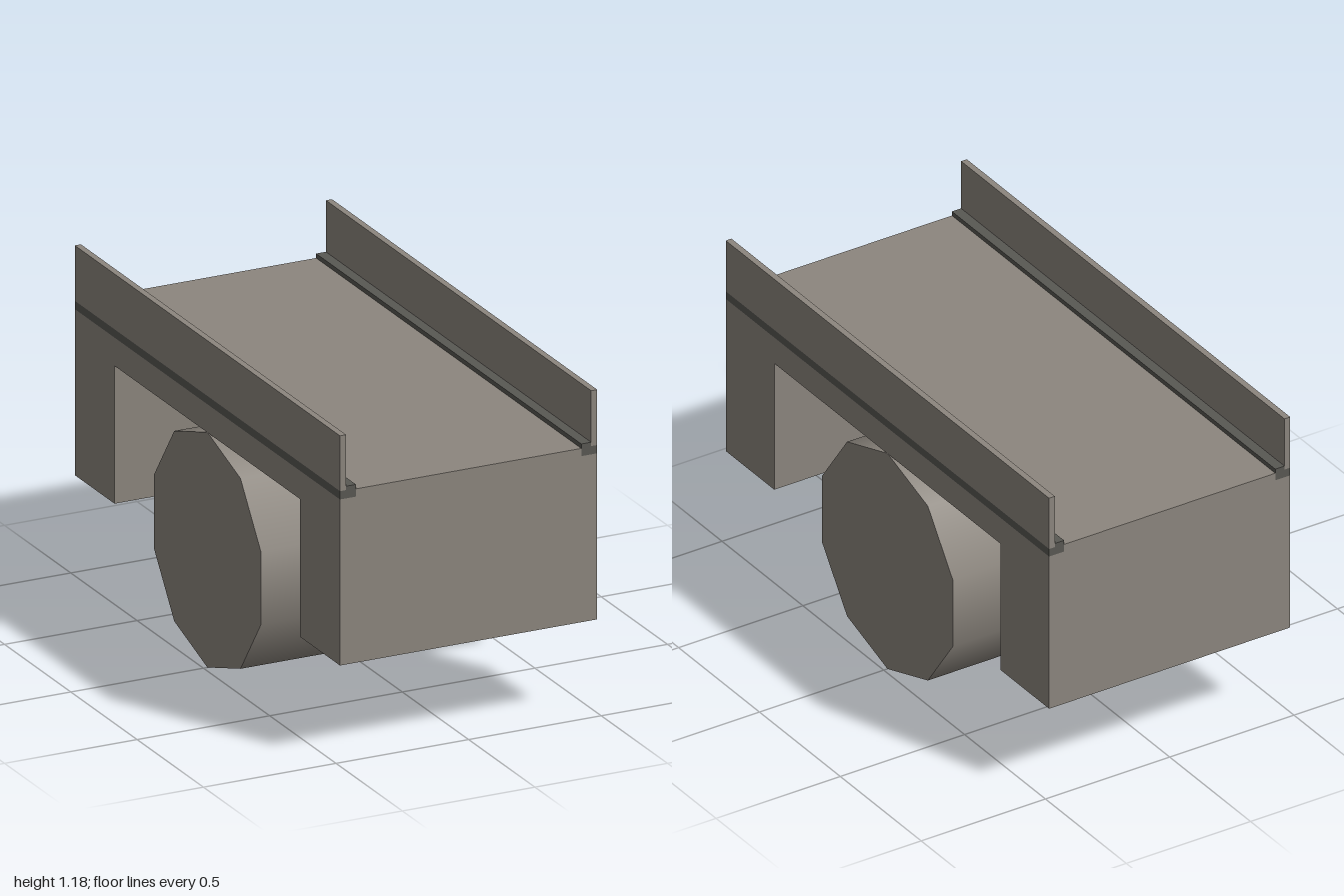
import * as THREE from 'three';

const HALF_W = 0.485; // half width of the whole model
const LENGTH = 2;

// Extrude a closed outline, centred along its depth
function extrude(points, depth) {
  const shape = new THREE.Shape(points.map(([x, y]) => new THREE.Vector2(x, y)));
  const geometry = new THREE.ExtrudeGeometry(shape, { depth, bevelEnabled: false });
  return geometry.translate(0, 0, -depth / 2);
}

export function createModel() {
  const model = new THREE.Group();
  model.name = 'wheeledDeck';

  const stone = new THREE.MeshStandardMaterial({ color: 0x8c867e });
  stone.name = 'warm grey';
  const dark = new THREE.MeshStandardMaterial({ color: 0x595853 });
  dark.name = 'dark grey';

  const add = (name, geometry, material, parent = model) => {
    const mesh = new THREE.Mesh(geometry, material);
    mesh.name = name;
    parent.add(mesh);
    return mesh;
  };

  // Bridge-shaped body, outline in the side plane and extruded across x
  const body = extrude([
    [-1, 0.352], [-0.7, 0.352], [-0.7, 0.85], [0.7, 0.85],
    [0.7, 0.352], [1, 0.352], [1, 0.952], [-1, 0.952],
  ], HALF_W * 2).rotateY(Math.PI / 2);
  add('body', body, stone);

  // Raised deck between the edge strips
  add('deck', new THREE.BoxGeometry(0.85, 0.028, LENGTH).translate(0, 0.966, 0), stone);

  // Ten-sided smooth roller lying across the model
  const roller = new THREE.CylinderGeometry(0.425, 0.425, HALF_W * 2, 10, 1, false, Math.PI / 2);
  add('roller', roller.rotateZ(Math.PI / 2).translate(0, 0.426, 0), stone);

  // Stepped edge strip and side wall on each side
  for (const [side, s] of [['left', 1], ['right', -1]]) {
    const edge = new THREE.Group();
    edge.name = side + 'Edge';
    model.add(edge);
    const strip = extrude([
      [s * 0.425, 0.952], [s * HALF_W, 0.952], [s * HALF_W, 0.982],
      [s * 0.462, 0.982], [s * 0.462, 0.996], [s * 0.425, 0.996],
    ], LENGTH);
    add(side + 'Strip', strip, dark, edge);
    const wall = new THREE.BoxGeometry(0.023, 0.2, LENGTH);
    add(side + 'Wall', wall.translate(s * 0.4735, 1.082, 0), stone, edge);
  }

  return model;
}
